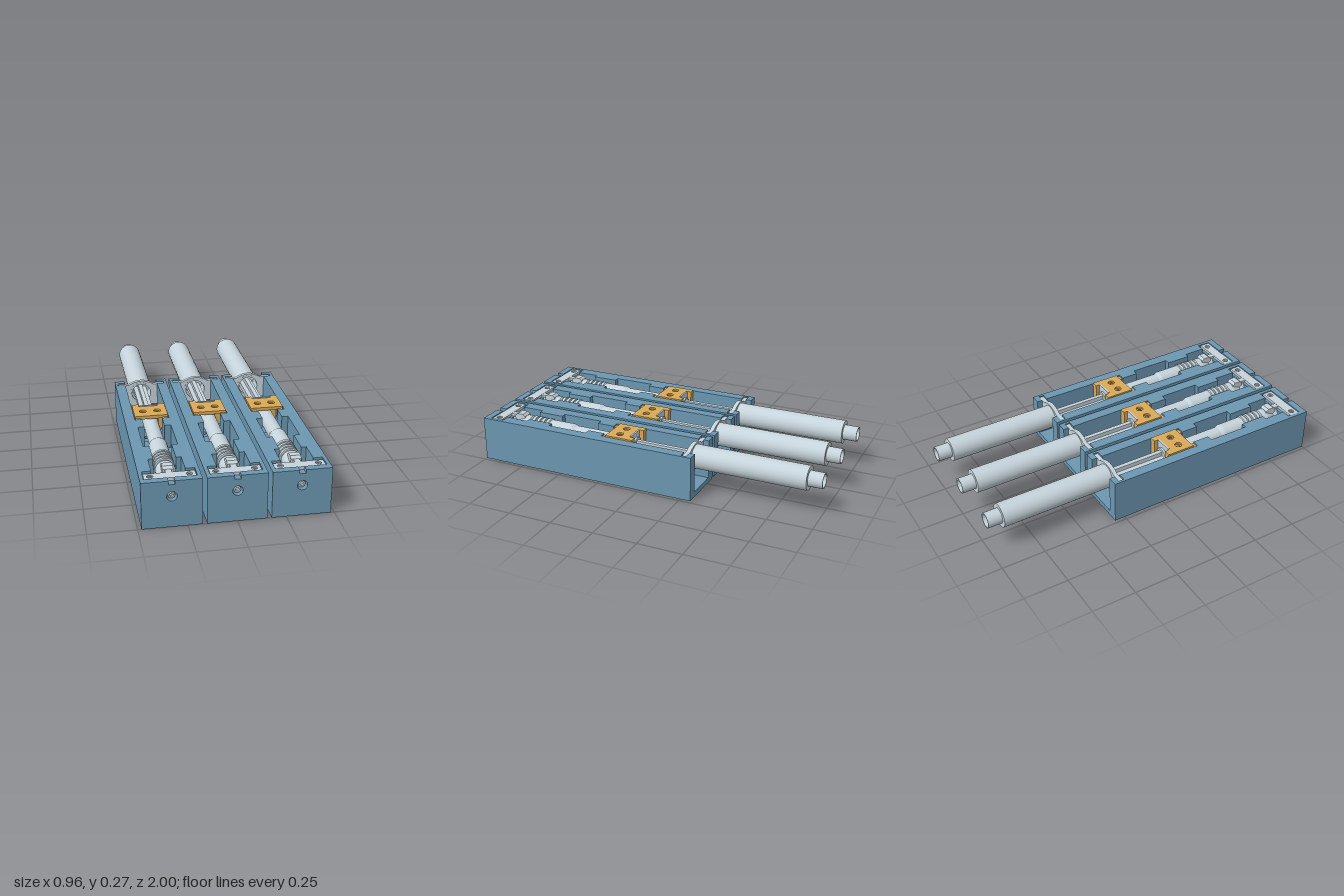
import * as THREE from 'three';

const blue = new THREE.MeshStandardMaterial({ color: 0x6c98b2 });
blue.name = 'bluePaint';
const grey = new THREE.MeshStandardMaterial({ color: 0xc6d4db });
grey.name = 'lightGreyMetal';
const brass = new THREE.MeshStandardMaterial({ color: 0xdcaa59 });
brass.name = 'brass';

const AXIS_Y = 0.197;   // height of the actuator axis
const HALF = 0.153;     // half width of one housing

function add(parent, name, geometry, material, x = 0, y = 0, z = 0) {
  const mesh = new THREE.Mesh(geometry, material);
  mesh.name = name;
  mesh.position.set(x, y, z);
  parent.add(mesh);
  return mesh;
}

// Box from its limits on each axis
function box(parent, name, material, [x0, x1], [y0, y1], [z0, z1]) {
  return add(parent, name, new THREE.BoxGeometry(x1 - x0, y1 - y0, z1 - z0), material,
    (x0 + x1) / 2, (y0 + y1) / 2, (z0 + z1) / 2);
}

function polygon(points) {
  return new THREE.Shape(points.map(([x, y]) => new THREE.Vector2(x, y)));
}

function hole(shape, x, y, r) {
  const path = new THREE.Path();
  path.absarc(x, y, r, 0, Math.PI * 2, true);
  shape.holes.push(path);
}

function extrude(shape, depth) {
  return new THREE.ExtrudeGeometry(shape, { depth, bevelEnabled: false, curveSegments: 16 });
}

// Plan shape in (x, z), running from y0 up to y1
function slab(parent, name, material, shape, y0, y1) {
  return add(parent, name, extrude(shape, y1 - y0).rotateX(Math.PI / 2), material, 0, y1, 0);
}

// Solid of revolution about the z axis, each profile segment kept crisp;
// outer surfaces run towards +z
function turned(parent, name, profile, y = AXIS_Y) {
  const group = new THREE.Group();
  group.name = name;
  for (let i = 0; i < profile.length - 1; i++) {
    const pts = [profile[i], profile[i + 1]].map(([r, z]) => new THREE.Vector2(r, z));
    add(group, name + 'Face', new THREE.LatheGeometry(pts, 32).rotateX(Math.PI / 2), grey);
  }
  group.position.y = y;
  parent.add(group);
}

// Stepped round seat seen inside a screw hole
function screwSeat(parent, material, x, y, z, r) {
  const ring = new THREE.RingGeometry(r * 0.55, r, 24).rotateX(-Math.PI / 2);
  add(parent, 'screwSeat', ring, material, x, y, z);
  const disc = new THREE.CircleGeometry(r * 0.55, 24).rotateX(-Math.PI / 2);
  add(parent, 'screwCentre', disc, material, x, y - 0.005, z);
}

function rectangle(x, y0, y1) {
  return polygon([[-x, y0], [x, y0], [x, y1], [-x, y1]]);
}

// Block section with an open notch in its top edge
function notched(x, y) {
  return polygon([[-HALF, 0.03], [HALF, 0.03], [HALF, 0.255], [x, 0.255],
    [x, y], [-x, y], [-x, 0.255], [-HALF, 0.255]]);
}

function buildHousing(unit) {
  const g = new THREE.Group();
  g.name = 'housing';
  unit.add(g);

  // Floor with mounting holes
  const floor = rectangle(HALF, -0.31, 1);
  for (const z of [-0.12, 0.025, 0.17]) hole(floor, 0, z, 0.018);
  for (const z of [0.48, 0.61, 0.74]) hole(floor, 0, z, 0.008);
  for (const x of [-0.095, 0.095]) hole(floor, x, 0.935, 0.016);
  slab(g, 'floor', blue, floor, 0, 0.03);

  // Lower walls around the deep rear bay
  const lower = polygon([[-HALF, -0.31], [-0.095, -0.31], [-0.095, 0.26], [0.095, 0.26],
    [0.095, -0.31], [HALF, -0.31], [HALF, 0.88], [-HALF, 0.88]]);
  slab(g, 'lowerWalls', blue, lower, 0.03, 0.12);

  // Stepped upper walls, mirrored
  const inner = [[0.095, -0.31], [0.095, -0.278], [0.138, -0.278], [0.138, -0.247], [0.095, -0.247],
    [0.095, 0.26], [0.055, 0.26], [0.055, 0.36], [0.09, 0.36], [0.09, 0.6], [0.058, 0.6],
    [0.058, 0.75], [0.085, 0.75], [0.085, 0.88], [HALF, 0.88], [HALF, -0.31]];
  for (const s of [-1, 1]) {
    slab(g, 'upperWall', blue, polygon(inner.map(([x, z]) => [x * s, z])), 0.12, 0.255);
  }

  // Front block: recessed for the clamp bar, then the notched end wall
  const recess = notched(0.133, 0.235);
  const wall = notched(0.016, 0.235);
  hole(recess, 0, 0.17, 0.015);
  hole(wall, 0, 0.17, 0.026);
  add(g, 'clampSeat', extrude(recess, 0.08), blue, 0, 0, 0.88);
  add(g, 'frontWall', extrude(wall, 0.04), blue, 0, 0, 0.96);
}

function buildActuator(unit) {
  // Rear cylinder, hollow at both ends
  turned(unit, 'cylinder', [[0.001, -0.95], [0.03, -0.95], [0.036, -1], [0.043, -1], [0.043, -0.92],
    [0.067, -0.92], [0.067, -0.25], [0.056, -0.25], [0.056, -0.35], [0.001, -0.35]]);

  // Flange with raised crown held in the wall slots
  const flange = new THREE.Shape();
  flange.moveTo(-0.135, 0.122);
  flange.lineTo(0.135, 0.122);
  flange.lineTo(0.135, 0.25);
  flange.lineTo(0.075, 0.25);
  flange.quadraticCurveTo(0, 0.296, -0.075, 0.25);
  flange.lineTo(-0.135, 0.25);
  hole(flange, 0, AXIS_Y, 0.056);
  add(unit, 'flange', extrude(flange, 0.024), grey, 0, 0, -0.275);

  // Ribbed push rod
  box(unit, 'pushRod', grey, [-0.038, 0.038], [0.17, 0.2], [-0.35, 0.1]);
  box(unit, 'pushRodRib', grey, [-0.012, 0.012], [0.2, 0.225], [-0.35, 0.1]);

  // Shaft, sleeve, ribbed collar and tapered nose
  const profile = [[0.001, 0.08], [0.042, 0.08], [0.042, 0.47], [0.05, 0.49], [0.05, 0.635]];
  for (let i = 0; i < 4; i++) {
    const z = 0.64 + i * 0.03;
    profile.push([0.055, z], [0.055, z + 0.018], [0.046, z + 0.019], [0.046, z + 0.029]);
  }
  profile.push([0.052, 0.765], [0.052, 0.8], [0.036, 0.85], [0.042, 0.86], [0.042, 0.885], [0.001, 0.885]);
  turned(unit, 'connector', profile);

  // Latch on the nose, with a sloping top and a tongue under the clamp bar
  const latch = polygon([[-0.79, 0.21], [-0.8, 0.25], [-0.815, 0.262], [-0.85, 0.262],
    [-0.865, 0.25], [-0.865, 0.21]]);
  add(unit, 'noseLatch', extrude(latch, 0.056).rotateY(Math.PI / 2), grey, -0.028, 0, 0);
  box(unit, 'latchTongue', grey, [-0.016, 0.016], [0.22, 0.25], [0.86, 0.9]);

  // Front adjusting screw
  turned(unit, 'frontScrew', [[0.018, 0.962], [0.018, 0.985], [0.01, 0.985], [0.01, 0.972],
    [0.001, 0.972]], 0.17);
}

function buildCarriage(unit) {
  const g = new THREE.Group();
  g.name = 'carriage';
  unit.add(g);
  // Top plate with two screw holes and rear notch
  const plate = polygon([[-0.092, 0.07], [-0.055, 0.07], [-0.055, 0.095], [0.055, 0.095],
    [0.055, 0.07], [0.092, 0.07], [0.092, 0.235], [-0.092, 0.235]]);
  for (const s of [-1, 1]) {
    hole(plate, s * 0.04, 0.168, 0.02);
    box(g, 'leg', brass, s < 0 ? [-0.09, -0.055] : [0.055, 0.09], [0.12, 0.245], [0.072, 0.1]);
    box(g, 'frontTab', brass, s < 0 ? [-0.09, -0.06] : [0.06, 0.09], [0.2, 0.25], [0.23, 0.258]);
    screwSeat(g, brass, s * 0.04, 0.252, 0.168, 0.02);
  }
  slab(g, 'topPlate', brass, plate, 0.243, 0.262);
  box(g, 'rodStop', grey, [-0.05, 0.05], [0.14, 0.266], [0.092, 0.102]);
}

function buildClamp(unit) {
  // Front clamp bar with two screws
  const bar = rectangle(0.13, 0.898, 0.957);
  for (const s of [-1, 1]) {
    hole(bar, s * 0.098, 0.928, 0.016);
    screwSeat(unit, grey, s * 0.098, 0.245, 0.928, 0.016);
  }
  slab(unit, 'clampBar', grey, bar, 0.235, 0.251);
}

export function createModel() {
  const model = new THREE.Group();
  model.name = 'tripleActuator';
  for (const x of [-0.328, 0, 0.328]) {
    const unit = new THREE.Group();
    unit.name = 'actuatorUnit';
    unit.position.x = x;
    buildHousing(unit);
    buildActuator(unit);
    buildCarriage(unit);
    buildClamp(unit);
    model.add(unit);
  }
  // Spacers joining the housings
  for (const s of [-1, 1]) {
    for (const z of [-0.1, 0.28, 0.66]) {
      box(model, 'spacer', grey, [s * 0.164 - 0.011, s * 0.164 + 0.011], [0.002, 0.05], [z, z + 0.1]);
    }
  }
  return model;
}
